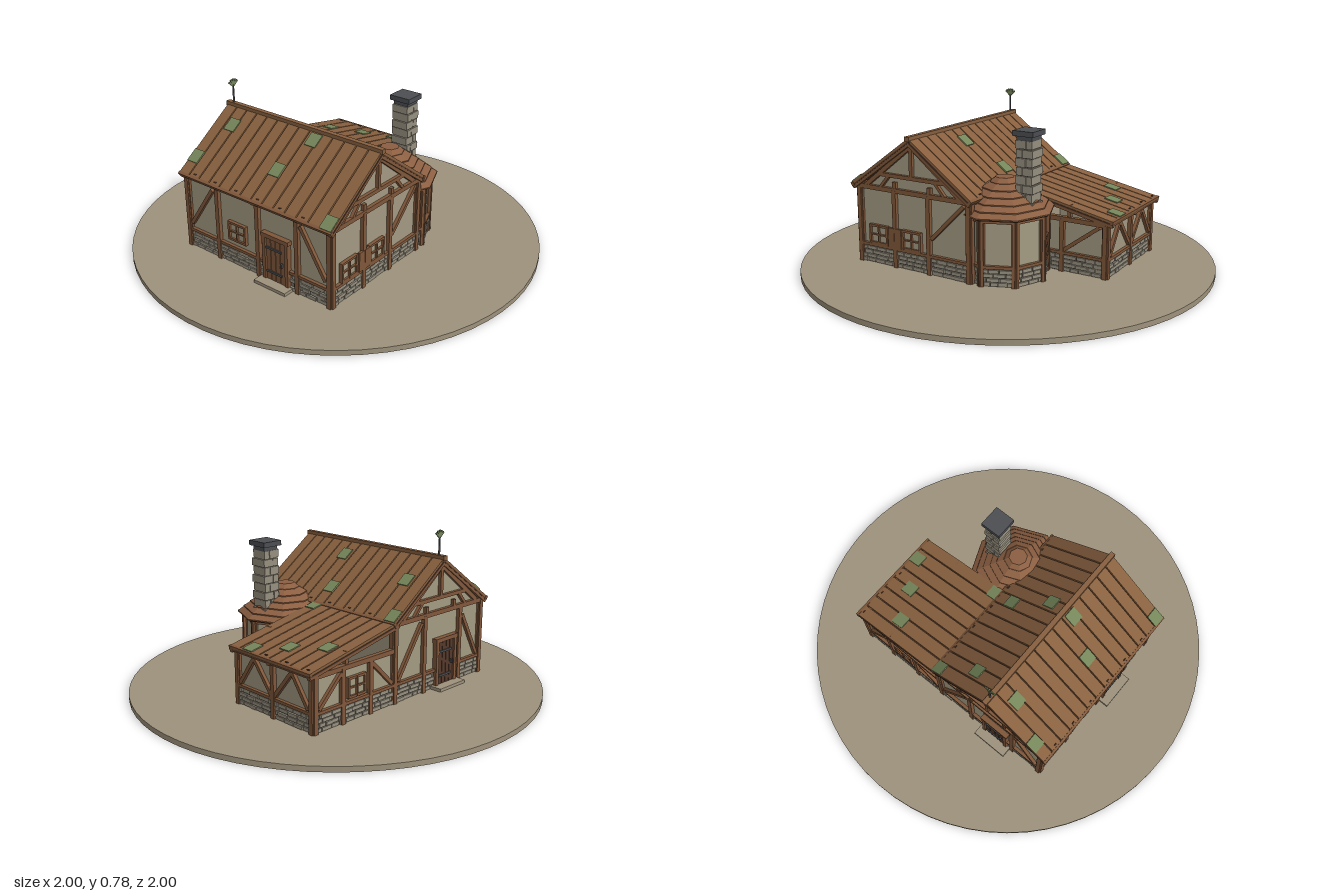
import * as THREE from 'three';

const mat = (name, color, extra = {}) => {
  const m = new THREE.MeshStandardMaterial({ color, ...extra });
  m.name = name;
  return m;
};

export function createModel() {
  const M = {
    ground: mat('ground', 0x9e927c),
    plaster: mat('plaster', 0xa39a82),
    wood: mat('timber', 0x80573a),
    roof: mat('roof planks', 0x88603f),
    dark: mat('dark wood', 0x55392a),
    stone: mat('stone', 0x979080),
    mortar: mat('mortar', 0x756d5f),
    iron: mat('iron', 0x4c4e52),
    moss: mat('moss', 0x75865a),
    shingle: mat('shingles', 0x8c5f42, { flatShading: true }),
  };
  const model = new THREE.Group();
  model.name = 'cottage';

  let seed = 7;
  const rnd = () => ((seed = (seed * 16807) % 2147483647) / 2147483647);
  const add = (parent, name, geo, m, x = 0, y = 0, z = 0) => {
    const mesh = new THREE.Mesh(geo, m);
    mesh.name = name;
    mesh.position.set(x, y, z);
    parent.add(mesh);
    return mesh;
  };
  const box = (p, name, m, w, h, d, x, y, z) => add(p, name, new THREE.BoxGeometry(w, h, d), m, x, y, z);
  // timber lying in a wall plane between two points
  const bar = (p, name, x1, y1, x2, y2, w = 0.018, z = 0.004) => {
    const b = box(p, name, M.wood, Math.hypot(x2 - x1, y2 - y1), w, 0.024, (x1 + x2) / 2, (y1 + y2) / 2, z);
    b.rotation.z = Math.atan2(y2 - y1, x2 - x1);
    return b;
  };
  const group = (name, parent = model) => {
    const g = new THREE.Group();
    g.name = name;
    parent.add(g);
    return g;
  };

  // Round base
  add(model, 'groundDisc', new THREE.CylinderGeometry(1, 1, 0.025, 64), M.ground, 0, 0.0125, 0);

  // Windows and doors in wall space (x along the wall, z outward)
  function windowAt(w, x, y, width = 0.1, h = 0.085) {
    box(w, 'windowPane', M.plaster, width, h, 0.006, x, y, 0.004);
    for (const s of [-1, 0, 1]) {
      const t = s ? 0.011 : 0.007;
      box(w, 'windowUpright', M.wood, t, h + 0.01, 0.022, x + s * width / 2, y, 0.006);
      box(w, 'windowRail', M.wood, width + 0.01, t, 0.02, x, y + s * h / 2, 0.006);
    }
  }
  function doorAt(w, x, m) {
    const n = 4, wd = 0.11 / n;
    for (let i = 0; i < n; i++) box(w, 'doorPlank', m, wd - 0.003, 0.215, 0.02, x + (i - 1.5) * wd, 0.143, 0.008);
    for (const s of [-1, 1]) {
      box(w, 'doorPost', M.wood, 0.018, 0.24, 0.032, x + s * 0.066, 0.145, 0.008);
      box(w, 'doorHinge', M.iron, 0.09, 0.01, 0.006, x - 0.008, 0.143 + s * 0.06, 0.02);
    }
    box(w, 'doorLintel', M.wood, 0.16, 0.02, 0.036, x, 0.262, 0.008);
    box(w, 'doorHandle', M.iron, 0.008, 0.02, 0.012, x + 0.04, 0.14, 0.022);
    box(w, 'doorStep', M.ground, 0.185, 0.015, 0.065, x, 0.0325, 0.034);
  }

  // Framed wall from a to b ([x, z]); the outside lies to the right of travel
  function wall(name, a, b, top, { posts = [], braces = [], windows = [], door = null, doorMat = M.wood } = {}) {
    const w = group(name);
    const dx = b[0] - a[0], dz = b[1] - a[1], L = Math.hypot(dx, dz);
    w.position.set(a[0], 0, a[1]);
    w.rotation.y = Math.atan2(-dz, dx);
    box(w, 'plasterPanel', M.plaster, L, top - 0.025, 0.02, L / 2, (top + 0.025) / 2, -0.01);
    box(w, 'mortarBed', M.mortar, L, 0.085, 0.02, L / 2, 0.0675, -0.006);
    for (let r = 0; r < 4; r++) {
      let x = 0;
      while (x < L - 0.004) {
        const len = Math.min(L - x, (0.035 + rnd() * 0.035) * (x === 0 && r % 2 ? 0.5 : 1));
        const c = x + len / 2;
        if (door === null || Math.abs(c - door) > 0.075)
          box(w, 'baseStone', M.stone, len - 0.004, 0.016, 0.02, c, 0.036 + r * 0.02, -0.002 + rnd() * 0.006);
        x += len;
      }
    }
    if (door === null) bar(w, 'sillBeam', 0, 0.116, L, 0.116, 0.014);
    else {
      bar(w, 'sillBeam', 0, 0.116, door - 0.066, 0.116, 0.014);
      bar(w, 'sillBeam', door + 0.066, 0.116, L, 0.116, 0.014);
      doorAt(w, door, doorMat);
    }
    bar(w, 'topBeam', -0.01, top, L + 0.01, top, 0.022, 0.005);
    for (const x of [0, L, ...posts])
      box(w, 'post', M.wood, 0.022, top - 0.025, 0.034, x, (top + 0.025) / 2, 0.001);
    for (const c of braces) bar(w, 'brace', ...c);
    for (const [x, y, s] of windows) windowAt(w, x, y, s);
    return w;
  }

  // Gable triangle with its framing, in wall space
  function gable(w) {
    const c = 0.3125, y0 = 0.4, y1 = 0.62, half = 0.28;
    const tri = new THREE.Shape([[c - half, y0], [c + half, y0], [c, y1]].map(p => new THREE.Vector2(...p)));
    add(w, 'gablePanel', new THREE.ExtrudeGeometry(tri, { depth: 0.018, bevelEnabled: false }), M.plaster, 0, 0, -0.018);
    for (const s of [-1, 1]) {
      bar(w, 'gableRafter', c + s * half, y0, c, y1, 0.02);
      bar(w, 'gableStrut', c + s * 0.13, 0.47, c + s * 0.19, 0.4, 0.014);
      bar(w, 'gablePost', c + s * 0.1, 0.4, c + s * 0.1, 0.44, 0.02);
    }
    bar(w, 'collarBeam', c - 0.19, 0.47, c + 0.19, 0.47, 0.018);
    bar(w, 'kingPost', c, 0.47, c, y1, 0.018);
  }

  // Main house
  const front = wall('frontWall', [-0.56, 0.425], [0.065, 0.425], 0.4, {
    posts: [0.21, 0.405], braces: [[0.42, 0.2, 0.6, 0.38]],
    windows: [[0.11, 0.17], [0.305, 0.17]],
  });
  for (const x of [0.19, 0.23]) box(front, 'shutter', M.wood, 0.036, 0.095, 0.012, x, 0.17, 0.014);
  gable(front);
  const back = wall('backWall', [0.065, -0.435], [-0.56, -0.435], 0.4, {
    posts: [0.2, 0.46], door: 0.355, doorMat: M.dark,
    braces: [[0.02, 0.13, 0.18, 0.37], [0.48, 0.35, 0.6, 0.13]],
  });
  gable(back);
  wall('leftWall', [-0.56, -0.435], [-0.56, 0.425], 0.4, {
    posts: [0.2, 0.45, 0.68], door: 0.56,
    braces: [[0.02, 0.15, 0.17, 0.37], [0.7, 0.37, 0.84, 0.15]], windows: [[0.32, 0.2]],
  });
  wall('rightWall', [0.065, 0.425], [0.065, -0.435], 0.4);

  // Side wing
  wall('wingFrontWall', [0.065, 0.055], [0.555, 0.055], 0.28, {
    posts: [0.27], braces: [[0.28, 0.13, 0.46, 0.265]],
  });
  wall('wingEndWall', [0.555, 0.055], [0.555, -0.435], 0.29, {
    posts: [0.245],
    braces: [[0.02, 0.13, 0.12, 0.27], [0.12, 0.27, 0.235, 0.13], [0.255, 0.13, 0.37, 0.27], [0.37, 0.27, 0.47, 0.13]],
  });
  wall('wingBackWall', [0.555, -0.435], [0.065, -0.435], 0.28, {
    posts: [0.16, 0.33], braces: [[0.02, 0.13, 0.15, 0.26], [0.34, 0.26, 0.47, 0.13]], windows: [[0.245, 0.18]],
  });
  for (const z of [0.055, -0.435]) box(model, 'wingStub', M.wood, 0.016, 0.07, 0.02, 0.37, 0.315, z);

  // Planked roof slope running down from (x, y); moss given as [x, z] on plan
  function slope(name, x, y, run, drop, z0, z1, flip, moss) {
    const g = group(name), len = Math.hypot(run, drop), angle = Math.atan2(drop, run);
    const dir = flip ? -1 : 1, zc = (z0 + z1) / 2, wid = z1 - z0;
    g.position.set(x, y, zc);
    g.rotation.order = 'YXZ';
    g.rotation.set(0, flip ? Math.PI : 0, -angle);
    box(g, 'roofBoard', M.dark, len, 0.006, wid, len / 2, -0.016, 0);
    const n = Math.round(wid / 0.066), pw = wid / n;
    for (let i = 0; i < n; i++) {
      const z = -wid / 2 + (i + 0.5) * pw;
      box(g, 'roofPlank', M.roof, len, 0.012, pw - 0.006, len / 2, -0.007, z);
      if (i % 2 === 0) box(g, 'roofPeg', M.dark, 0.006, 0.006, 0.014, len - 0.025, 0, z);
    }
    for (const z of [-wid / 2 + 0.012, 0, wid / 2 - 0.012])
      box(g, 'rafter', M.wood, len, 0.016, 0.02, len / 2, -0.024, z);
    box(g, 'eaveBoard', M.wood, 0.014, 0.024, wid, len - 0.007, -0.012, 0);
    for (const [mx, mz] of moss)
      box(g, 'mossPatch', M.moss, 0.068, 0.006, 0.062, Math.abs(mx - x) / Math.cos(angle), 0.001, (mz - zc) * dir);
  }
  slope('leftRoof', -0.25, 0.66, 0.35, 0.25, -0.46, 0.455, true,
    [[-0.51, -0.425], [-0.34, -0.35], [-0.45, 0.03], [-0.295, 0.11], [-0.565, 0.42]]);
  slope('rightRoof', -0.25, 0.66, 0.345, 0.25, -0.46, 0.455, false,
    [[-0.11, -0.35], [0.06, -0.425], [0.0, 0.03], [-0.17, 0.11]]);
  slope('wingRoof', 0.055, 0.415, 0.542, 0.11, -0.458, 0.075, false,
    [[0.11, 0.035], [0.39, -0.35], [0.47, -0.195], [0.555, -0.045]]);
  box(model, 'ridgeBeam', M.roof, 0.024, 0.022, 0.925, -0.25, 0.656, -0.002);

  // Eight-sided corner turret with a stepped roof
  const cx = 0.125, cz = 0.228;
  const corner = (deg, r = 0.195) => [cx + r * Math.cos(deg * Math.PI / 180), cz + r * Math.sin(deg * Math.PI / 180)];
  for (const a of [135, 90, 45, 0, -45])
    wall('turretWall', corner(a), corner(a - 45), 0.33, a === 0 ? { windows: [[0.075, 0.17, 0.08]] } : {});
  const turretRoof = group('turretRoof');
  turretRoof.position.set(cx, 0, cz);
  const tiers = [[0.236, 0.205, 0.34], [0.207, 0.172, 0.365], [0.174, 0.138, 0.39],
    [0.14, 0.105, 0.415], [0.107, 0.072, 0.44], [0.07, 0.045, 0.463]];
  add(turretRoof, 'turretEave', new THREE.CylinderGeometry(0.225, 0.225, 0.012, 8), M.dark, 0, 0.338, 0);
  for (const [rb, rt, y] of tiers) {
    add(turretRoof, 'shingleTier', new THREE.CylinderGeometry(rt, rb, 0.022, 8), M.shingle, 0, y + 0.014, 0);
    add(turretRoof, 'tierLip', new THREE.CylinderGeometry(rb, rb, 0.006, 8), M.wood, 0, y + 0.001, 0);
  }

  // Chimney
  const chimney = group('chimney');
  chimney.position.set(0.248, 0, 0.225);
  box(chimney, 'chimneyCore', M.mortar, 0.074, 0.38, 0.074, 0, 0.49, 0);
  for (let i = 0; i < 9; i++) {
    const y = 0.33 + i * 0.04;
    for (const s of [-1, 1]) {
      const big = 0.052 + rnd() * 0.006, small = 0.086 - big;
      const wd = (s > 0) === (i % 2 > 0) ? big : small;
      const x = s * (0.044 - wd / 2) + (i % 2 ? 0.003 : -0.003);
      box(chimney, 'chimneyStone', M.stone, wd - 0.002, 0.036, 0.084 + (i % 2) * 0.006, x, y, 0);
    }
  }
  box(chimney, 'chimneyCollar', M.iron, 0.08, 0.025, 0.08, 0, 0.68, 0);
  box(chimney, 'chimneyCap', M.iron, 0.105, 0.024, 0.11, 0, 0.701, 0);

  // Roof vane with a small fan of blades
  const vane = group('roofVane');
  vane.position.set(-0.25, 0, -0.425);
  add(vane, 'vanePole', new THREE.CylinderGeometry(0.004, 0.005, 0.1, 8), M.iron, 0, 0.705, 0);
  for (let i = -2; i <= 2; i++) {
    const a = i * 0.42;
    const blade = box(vane, 'vaneBlade', M.moss, 0.009, 0.034, 0.006, Math.sin(a) * 0.019, 0.748 + Math.cos(a) * 0.018, 0);
    blade.rotation.z = -a;
  }
  return model;
}
